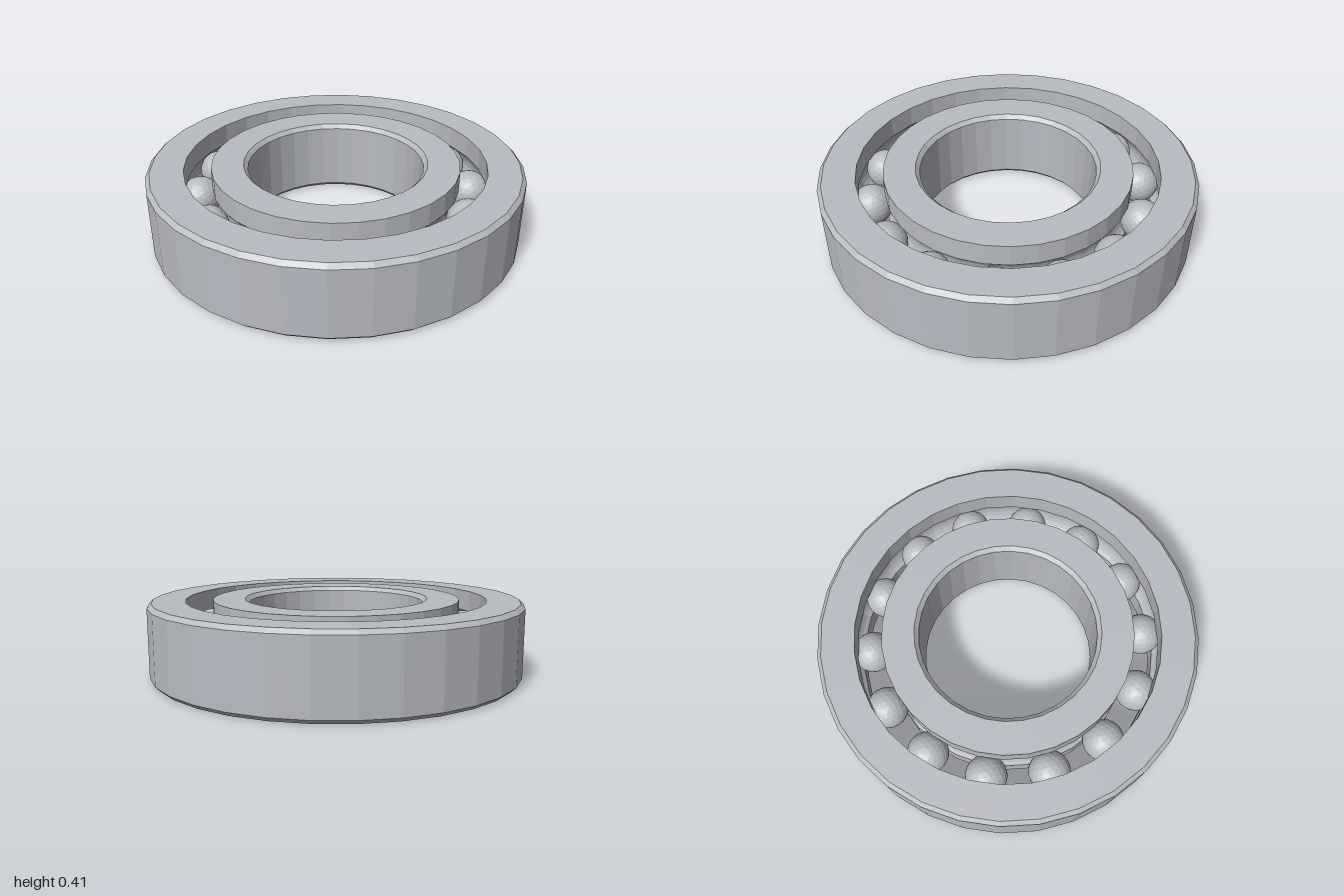
import * as THREE from 'three';

const HEIGHT = 0.406, MID = HEIGHT / 2, CHAMFER = 0.022;
const PITCH = 0.735, BALL_RADIUS = 0.11, GROOVE_RADIUS = 0.113;
const BALLS = 14, SIDES = 32;

// Points of a round raceway groove cut into a wall at radius wall; dir is +1 going up, -1 going down
function groove(wall, dir) {
  const offset = wall - PITCH;
  const half = Math.acos(Math.abs(offset) / GROOVE_RADIUS);
  const points = [];
  for (let i = 0; i <= 8; i++) {
    const a = (-half + (2 * half * i) / 8) * dir;
    points.push([
      PITCH + Math.sign(offset) * GROOVE_RADIUS * Math.cos(a),
      MID + GROOVE_RADIUS * Math.sin(a),
    ]);
  }
  return points;
}

// Closed counter-clockwise profile turned around the y axis
function ring(name, profile, material) {
  const points = [...profile, profile[0]].map(([r, y]) => new THREE.Vector2(r, y));
  const mesh = new THREE.Mesh(new THREE.LatheGeometry(points, SIDES), material);
  mesh.name = name;
  return mesh;
}

export function createModel() {
  const model = new THREE.Group();
  model.name = 'ballBearing';
  const steel = new THREE.MeshStandardMaterial({ color: 0xb8bbc2, flatShading: true });
  steel.name = 'steel';

  // Outer ring: chamfered outside, grooved inside
  const outer = 1, outerWall = 0.804;
  model.add(ring('outerRing', [
    [outerWall, 0],
    [outer - CHAMFER, 0],
    [outer, CHAMFER],
    [outer, HEIGHT - CHAMFER],
    [outer - CHAMFER, HEIGHT],
    [outerWall, HEIGHT],
    ...groove(outerWall, -1),
  ], steel));

  // Inner ring: grooved outside, chamfered bore
  const bore = 0.47, innerWall = 0.662;
  model.add(ring('innerRing', [
    [bore + CHAMFER, 0],
    [innerWall, 0],
    ...groove(innerWall, 1),
    [innerWall, HEIGHT],
    [bore + CHAMFER, HEIGHT],
    [bore, HEIGHT - CHAMFER],
    [bore, CHAMFER],
  ], steel));

  // Balls spaced evenly in the raceway
  const balls = new THREE.Group();
  balls.name = 'balls';
  const ballGeometry = new THREE.IcosahedronGeometry(BALL_RADIUS, 3);
  for (let i = 0; i < BALLS; i++) {
    const a = (i / BALLS) * Math.PI * 2;
    const ball = new THREE.Mesh(ballGeometry, steel);
    ball.name = 'ball';
    ball.position.set(PITCH * Math.cos(a), MID, PITCH * Math.sin(a));
    balls.add(ball);
  }
  model.add(balls);
  return model;
}
